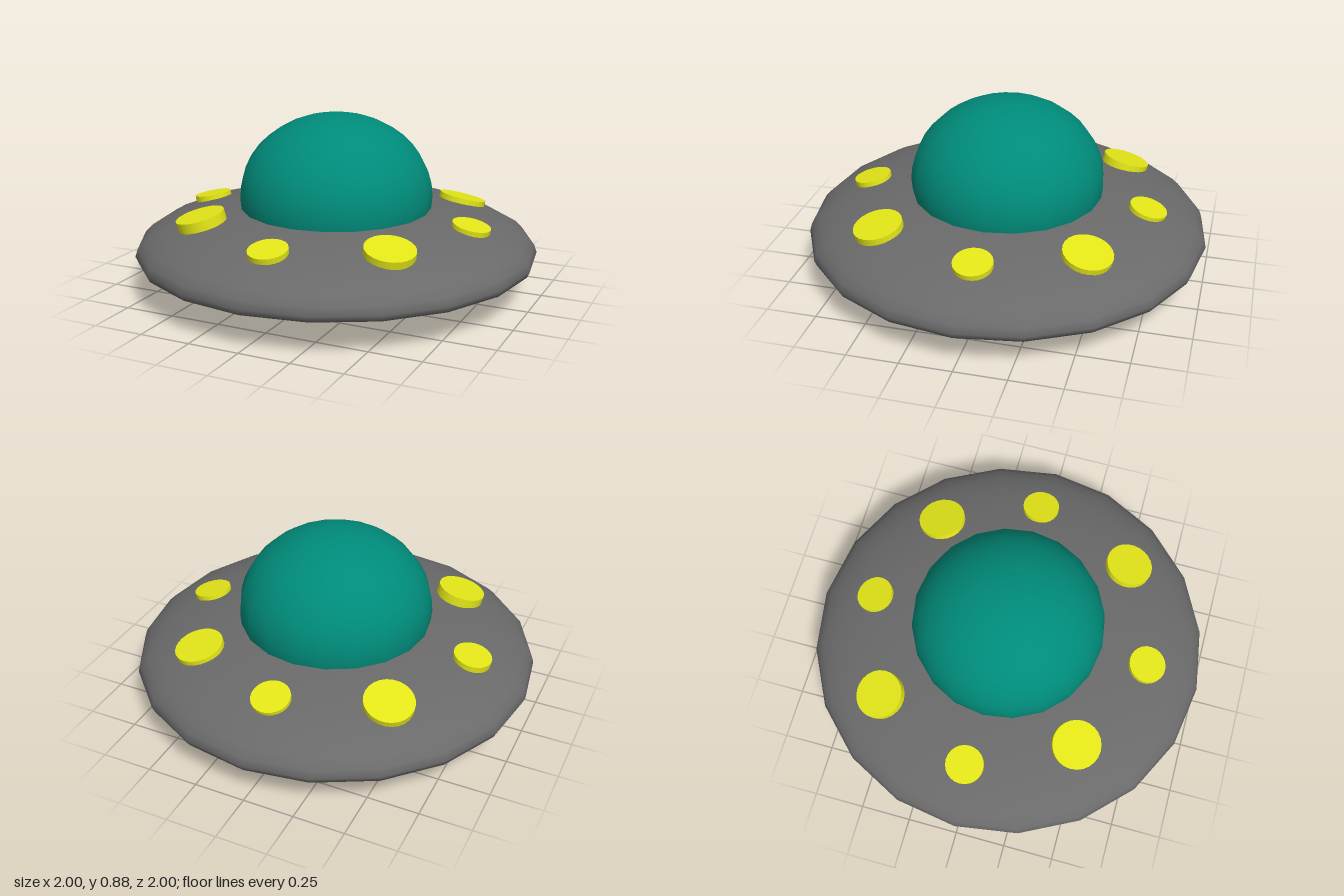
import * as THREE from 'three';

const SIDES = 20;
const paint = (name, color) => {
  const m = new THREE.MeshStandardMaterial({ color });
  m.name = name;
  return m;
};

export function createModel() {
  const model = new THREE.Group();
  model.name = 'flyingSaucer';
  const grey = paint('hullGrey', 0x6a6a6a);
  const blue = paint('undersideBlue', 0x5787b0);
  const teal = paint('domeTeal', 0x008b7a);
  const yellow = paint('lampYellow', 0xe8eb18);

  const add = (name, geometry, material) => {
    const mesh = new THREE.Mesh(geometry, material);
    mesh.name = name;
    model.add(mesh);
    return mesh;
  };
  // Profiles run from bottom to top so the faces point outwards
  const lathe = (points) =>
    new THREE.LatheGeometry(points.map(([r, y]) => new THREE.Vector2(r, y)), SIDES);

  // Upper hull: a flattened half ellipsoid whose rim tucks under smoothly
  const hull = [[0.92, 0.173], [0.988, 0.171]];
  for (let i = 0; i <= 10; i++) {
    const a = (i / 10) * Math.PI / 2;
    hull.push([Math.cos(a), 0.2 + 0.24 * Math.sin(a)]);
  }
  add('upperHull', lathe(hull), grey);

  // Shallow cone below, nearly flat at its tip
  add('underside', lathe([[0, 0], [0.16, 0.006], [0.955, 0.171]]), blue);

  // Dome: slightly squashed sphere sunk into the hull
  const dome = add('dome', new THREE.SphereGeometry(0.48, SIDES, 20), teal);
  dome.scale.y = 0.845;
  dome.position.y = 0.47;

  // Lamps: [x, top height, z, radius, slope along x, slope along z]
  const lamps = [
    [0, 0.388, 0.72, 0.094, 0, -0.22],
    [0, 0.386, -0.71, 0.094, 0, 0.28],
    [-0.73, 0.388, -0.02, 0.094, 0.19, 0],
    [0.705, 0.39, -0.015, 0.094, -0.21, 0],
    [0.5, 0.397, 0.51, 0.12, -0.17, -0.17],
    [-0.5, 0.422, 0.48, 0.12, 0.22, -0.14],
    [0.5, 0.392, -0.5, 0.12, -0.17, 0.19],
    [-0.505, 0.395, -0.525, 0.12, 0.19, 0.25],
  ];
  const up = new THREE.Vector3(0, 1, 0);
  lamps.forEach(([x, y, z, r, sx, sz], i) => {
    const lamp = add(`lamp${i + 1}`, new THREE.CylinderGeometry(r, r, 0.05, 24), yellow);
    const normal = new THREE.Vector3(-sx, 1, -sz).normalize();
    lamp.quaternion.setFromUnitVectors(up, normal);
    lamp.position.set(x, y, z).addScaledVector(normal, -0.025);
  });

  return model;
}
